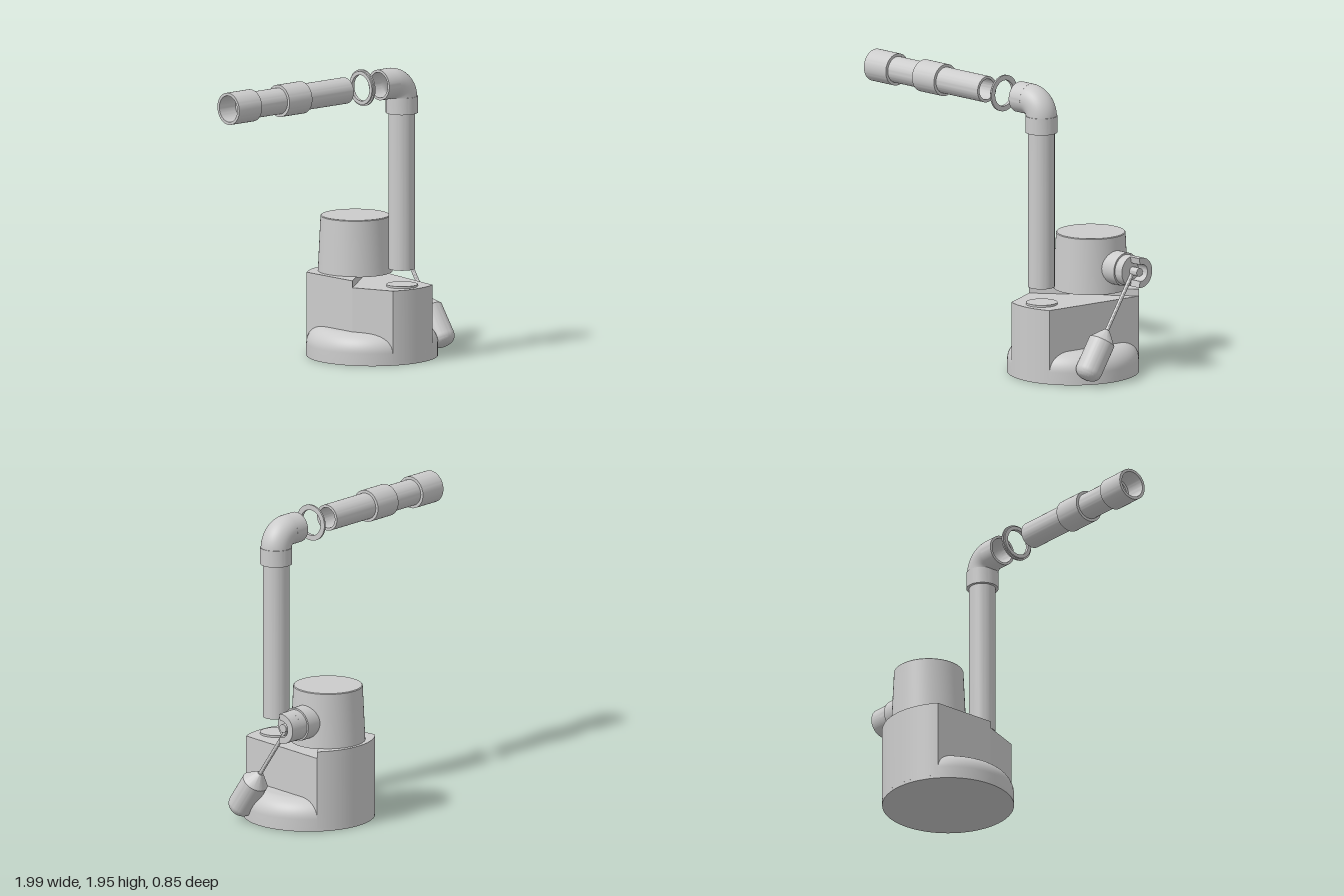
import * as THREE from 'three';
import { toCreasedNormals } from 'three/addons/utils/BufferGeometryUtils.js';

const CX = 0.52;          // axis of the pump body
const PIPE_Z = 0.287;     // depth of all pipework
const PIPE_Y = 1.834;     // height of the horizontal run
const R = 0.427;          // base radius

export function createModel() {
  const model = new THREE.Group();
  const material = new THREE.MeshStandardMaterial({ color: 0xcccccc });
  const twoSided = new THREE.MeshStandardMaterial({ color: 0xcccccc, side: THREE.DoubleSide });

  const add = (name, geometry, parent = model, mat = material) => {
    const mesh = new THREE.Mesh(geometry, mat);
    mesh.name = name;
    parent.add(mesh);
    return mesh;
  };
  const group = (name) => {
    const g = new THREE.Group();
    g.name = name;
    model.add(g);
    return g;
  };
  // Turned solid from [radius, height] pairs, bottom to top on the outside
  const turned = (points) => toCreasedNormals(
    new THREE.LatheGeometry(points.map(([r, h]) => new THREE.Vector2(r, h)), 64), 0.5);
  const rod = (r, a, b) => turned([[0, a], [r, a], [r, b], [0, b]]);
  const sleeve = (outer, inner, a, b) =>
    turned([[inner, a], [outer, a], [outer, b], [inner, b], [inner, a]]);
  // Lays a turned solid along x
  const alongX = (geometry) => geometry.rotateZ(-Math.PI / 2);
  // Quarter-round corner points
  const corner = (r, h, radius, steps = 12) => Array.from({ length: steps + 1 }, (_, i) => {
    const a = (i / steps) * Math.PI / 2;
    return [r + radius * Math.cos(a), h + radius * Math.sin(a)];
  });

  // ---- Pump body ----
  const pump = group('pump');
  pump.position.x = CX;
  add('roundedBase', turned([[0, 0], [R, 0], ...corner(R - 0.12, 0.08, 0.12, 16), [0, 0.2]]), pump);

  // Plan outlines; shape y is -z
  const side = 0.283, step = 0.12, nose = 0.174;
  const backAngle = Math.acos(side / R), noseAngle = Math.acos(nose / R);
  const outline = (withNose) => {
    const s = new THREE.Shape();
    s.moveTo(side, -step);
    s.absarc(0, 0, R, backAngle, Math.PI - backAngle, false);
    s.lineTo(-side, -step);
    if (withNose) s.absarc(0, 0, R, Math.PI + noseAngle, 2 * Math.PI - noseAngle, false);
    s.closePath();
    return s;
  };
  const slab = (shape, bottom, top) => toCreasedNormals(
    new THREE.ExtrudeGeometry(shape, { depth: top - bottom, bevelEnabled: false, curveSegments: 40 })
      .rotateX(-Math.PI / 2).translate(0, bottom, 0), 0.3);
  add('lowerBody', slab(outline(true), 0.02, 0.49), pump);
  add('raisedDeck', slab(outline(false), 0.49, 0.535), pump);

  add('motorHousing', turned([[0, 0.53], [0.242, 0.53], [0.225, 0.895], [0.22, 0.9], [0, 0.9]]), pump)
    .position.z = -0.163;
  add('outletBoss', rod(0.102, 0.48, 0.503), pump).position.z = PIPE_Z;

  // ---- Riser pipe ----
  add('riserPipe', sleeve(0.086, 0.068, 0.605, 1.7)).position.set(CX - 0.002, 0, PIPE_Z);

  // ---- Elbow ----
  const elbow = group('elbow');
  const bend = 0.104;
  elbow.position.set(CX - 0.002 - bend, PIPE_Y - bend, PIPE_Z);
  add('elbowBend', new THREE.TorusGeometry(bend, 0.1, 40, 28, Math.PI / 2), elbow);
  add('elbowBore', new THREE.TorusGeometry(bend, 0.083, 32, 28, Math.PI / 2), elbow, twoSided);
  add('lowerCollar', sleeve(0.104, 0.086, -0.1, 0.01), elbow).position.x = bend;
  add('sideCollar', alongX(sleeve(0.1, 0.083, -0.096, 0.005)), elbow).position.y = bend;

  // ---- Loose seal ring ----
  add('sealRing', alongX(turned([
    [0.085, 0.157], [0.109, 0.157], [0.109, 0.168], [0.119, 0.168],
    [0.119, 0.18], [0.085, 0.18], [0.085, 0.157],
  ]))).position.set(0, PIPE_Y, PIPE_Z);

  // ---- Horizontal discharge pipe with couplings ----
  const discharge = group('dischargePipe');
  discharge.position.set(0, PIPE_Y, PIPE_Z);
  add('pipe', alongX(sleeve(0.086, 0.068, -0.86, 0.02)), discharge);
  add('endCoupling', alongX(sleeve(0.105, 0.086, -1, -0.8)), discharge);
  add('middleCoupling', alongX(sleeve(0.105, 0.086, -0.56, -0.36)), discharge);

  // ---- Float switch ----
  const floatSwitch = group('floatSwitch');
  floatSwitch.position.set(0, 0.697, -0.165);
  add('switchMount', alongX(rod(0.11, 0.68, 0.838)), floatSwitch);
  add('switchBody', alongX(rod(0.099, 0.83, 0.9)), floatSwitch);
  add('pivotPin', alongX(rod(0.028, 0.88, 0.965)), floatSwitch);

  // C-shaped guard, open to the front
  const open = Math.PI / 2 + 0.2;
  const guard = new THREE.Shape();
  guard.absarc(0, 0, 0.099, -open, open, false);
  guard.absarc(0, 0, 0.056, open, -open, true);
  guard.closePath();
  add('pivotGuard', toCreasedNormals(
    new THREE.ExtrudeGeometry(guard, { depth: 0.09, bevelEnabled: false, curveSegments: 32 })
      .rotateY(Math.PI / 2).translate(0.89, 0, 0), 0.4), floatSwitch);

  // Arm hangs from the pivot; local -y runs along it
  const arm = new THREE.Group();
  arm.name = 'floatArm';
  arm.position.x = 0.907;
  arm.rotation.x = -0.6;
  floatSwitch.add(arm);
  add('armRod', rod(0.013, -0.46, 0), arm);
  const floatBottom = corner(0.026, 0, 0.061).reverse().map(([r, h]) => [r, -0.719 - h]);
  add('floatBulb', turned([[0, -0.78], ...floatBottom, [0.087, -0.51], [0.02, -0.43], [0, -0.43]]), arm);

  return model;
}
